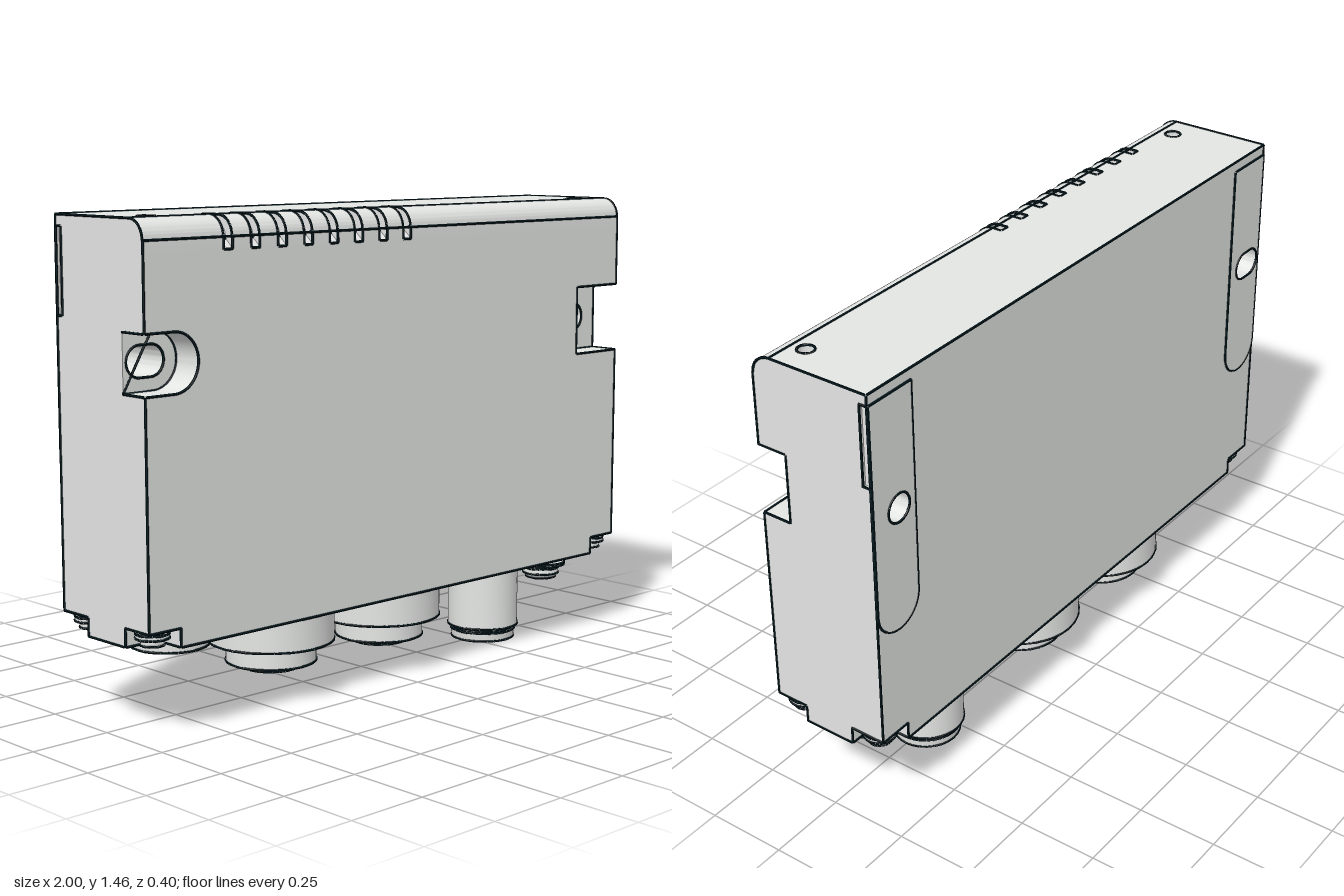
import * as THREE from 'three';
import { mergeGeometries, toCreasedNormals } from 'three/addons/utils/BufferGeometryUtils.js';

const W = 0.996, FRONT = 0.197, BACK = -0.195, BEND = 0.137;
const BOTTOM = 0.265, FOOT = 0.32, SHOULDER = 1.395, TOP = 1.453, HOLE_Y = 1.06;
const PI = Math.PI, UP = new THREE.Vector3(0, 1, 0);

const material = (name, color) => {
  const m = new THREE.MeshStandardMaterial({ color });
  m.name = name;
  return m;
};
const vec = (x, y, z) => new THREE.Vector3(x, y, z);
const polygon = (pts) => new THREE.Shape(pts.map(([x, y]) => new THREE.Vector2(x, y)));
const circle = (x, y, r) => new THREE.Path().absarc(x, y, r, 0, PI * 2, true);
const extrude = (shape, depth) =>
  new THREE.ExtrudeGeometry(shape, { depth, bevelEnabled: false, curveSegments: 14 });

// Mounting holes: round on the model's left, elongated on its right
const roundHole = circle(0.89, HOLE_Y, 0.045);
const slotHole = new THREE.Path()
  .absarc(-0.90, HOLE_Y, 0.045, -PI / 2, PI / 2, false)
  .absarc(-0.94, HOLE_Y, 0.045, PI / 2, PI * 1.5, false).closePath();

// Housing outline with optional side grooves, foot notches and front pockets
function outline({ top = 1.42, groove = false, feet = false, pockets = false }) {
  const s = new THREE.Shape().moveTo(0, BOTTOM);
  const line = (pts) => pts.forEach(([x, y]) => s.lineTo(x, y));
  line(feet ? [[0.885, BOTTOM], [0.885, FOOT], [W, FOOT]] : [[W, BOTTOM]]);
  if (pockets) line([[W, 0.95], [0.795, 0.95], [0.795, 1.17], [W, 1.17]]);
  if (groove) line([[W, 1.17], [0.985, 1.17], [0.985, top], [-0.985, top], [-0.985, 1.17], [-W, 1.17]]);
  else line([[W, top], [-W, top]]);
  if (pockets) {
    s.lineTo(-W, HOLE_Y + 0.085);
    s.absarc(-0.895, HOLE_Y, 0.085, PI / 2, -PI / 2, true);
    s.lineTo(-W, HOLE_Y - 0.085);
  } else {
    s.holes.push(roundHole, slotHole);
  }
  line(feet ? [[-W, FOOT], [-0.885, FOOT], [-0.885, BOTTOM]] : [[-W, BOTTOM]]);
  return s.closePath();
}

export function createModel() {
  const group = new THREE.Group();
  const grey = material('lightGrey', 0xe4e6e4);
  const dark = material('darkEdge', 0x061a20);
  const white = material('white', 0xffffff);

  const add = (name, geometry, parent = group, mat = grey) => {
    const mesh = new THREE.Mesh(toCreasedNormals(geometry, 0.6), mat);
    mesh.name = name;
    parent.add(mesh);
  };

  // Dark edge lines, gathered as thin rods
  const rods = [];
  const wire = (pts, closed = false) => {
    const path = closed ? [...pts, pts[0]] : pts;
    for (let i = 1; i < path.length; i++) {
      const dir = path[i].clone().sub(path[i - 1]);
      const length = dir.length();
      if (length < 1e-4) continue;
      const mid = path[i].clone().add(path[i - 1]).multiplyScalar(0.5);
      rods.push(new THREE.CylinderGeometry(0.004, 0.004, length, 5, 1, true)
        .applyQuaternion(new THREE.Quaternion().setFromUnitVectors(UP, dir.normalize()))
        .translate(mid.x, mid.y, mid.z));
    }
  };
  const loop = (path, z) => wire(path.getPoints(14).map((p) => vec(p.x, p.y, z)), true);
  const alongX = (x0, x1, y, z) => wire([vec(x0, y, z), vec(x1, y, z)]);
  const alongZ = (x, y, z0, z1) => wire([vec(x, y, z0), vec(x, y, z1)]);
  const ring = (x, y, z, r) =>
    wire(circle(x, z, r).getPoints(14).map((p) => vec(p.x, y, p.y)), true);

  // Housing, in slices from back to front
  const slice = (z0, z1, options) =>
    add('housing', extrude(outline(options), z1 - z0).translate(0, 0, z0));
  slice(BACK, -0.17, { groove: true, feet: true });
  slice(-0.17, -0.08, { feet: true });
  slice(-0.08, 0.09, {});
  slice(0.09, 0.1, { feet: true });
  slice(0.1, 0.105, { feet: true, pockets: true });
  slice(0.105, FRONT, { top: 1.36, feet: true, pockets: true });
  loop(outline({ top: SHOULDER, feet: true, pockets: true }), FRONT);
  loop(outline({ top: TOP, feet: true }), BACK);

  // Edges of the foot notches, pockets, side grooves and holes
  for (const s of [-1, 1]) {
    for (const [inner, outer] of [[0.09, FRONT], [-0.08, BACK]]) {
      loop(polygon([[s * 0.885, BOTTOM], [s * W, BOTTOM], [s * W, FOOT], [s * 0.885, FOOT]]), inner);
      for (const [x, y] of [[0.885, BOTTOM], [0.885, FOOT], [W, FOOT]]) alongZ(s * x, y, inner, outer);
    }
    alongZ(s * W, BOTTOM, -0.08, 0.09);
    alongZ(s * W, TOP, BACK, BEND);
    wire([vec(s * W, 1.17, BACK), vec(s * W, 1.17, -0.17), vec(s * W, 1.42, -0.17), vec(s * W, 1.42, BACK)]);
    ring(s * 0.9, TOP, 0.09, 0.025);
  }
  for (const [x, y] of [[W, 0.95], [W, 1.17], [0.795, 0.95], [0.795, 1.17],
    [-W, HOLE_Y - 0.085], [-W, HOLE_Y + 0.085]]) alongZ(x, y, 0.1, FRONT);
  loop(polygon([[0.795, 0.95], [W, 0.95], [W, 1.17], [0.795, 1.17]]), 0.1);
  loop(new THREE.Path().moveTo(-W, HOLE_Y + 0.085)
    .absarc(-0.895, HOLE_Y, 0.085, PI / 2, -PI / 2, true).lineTo(-W, HOLE_Y - 0.085), 0.1);
  for (const hole of [roundHole, slotHole]) [0.1, -0.2].forEach((z) => loop(hole, z));

  // Top cover with two small holes, cut back behind the light slots
  const cover = polygon([[-W, -BEND], [-0.73, -BEND], [-0.73, -0.105], [0.03, -0.105],
    [0.03, -BEND], [W, -BEND], [W, -BACK], [-W, -BACK]]);
  cover.holes.push(circle(-0.9, -0.09, 0.025), circle(0.9, -0.09, 0.025));
  add('topCover', extrude(cover, TOP - 1.42).rotateX(-PI / 2).translate(0, 1.42, 0));

  // Rounded front edge: plain ends, ribs, and recessed light slots between the ribs
  const bend = (pts, r, tail) => {
    const s = new THREE.Shape().moveTo(-0.105, 1.36);
    pts.forEach(([z, y]) => s.lineTo(-z, y));
    s.absarc(-BEND, SHOULDER, r, PI / 2, PI, false);
    tail.forEach(([z, y]) => s.lineTo(-z, y));
    return s.closePath();
  };
  const R = TOP - SHOULDER;
  const endProfile = bend([[0.105, 1.42], [BEND, 1.42], [BEND, TOP]], R, [[FRONT, SHOULDER], [FRONT, 1.36]]);
  const ribProfile = bend([[0.105, TOP], [BEND, TOP]], R, [[FRONT, SHOULDER], [FRONT, 1.36]]);
  const slotProfile = bend([[0.105, TOP], [0.13, 1.428]], 0.03, [[0.167, 1.385], [FRONT, 1.36]]);
  const windowProfile = polygon([[-0.166, 1.388], [-FRONT, 1.362], [-FRONT, 1.358], [-0.166, 1.38]]);
  const across = (name, shape, x0, x1, mat) =>
    add(name, extrude(shape, x1 - x0).rotateY(PI / 2).translate(x0, 0, 0), group, mat);
  across('roundedEdge', endProfile, -W, -0.73);
  across('roundedEdge', endProfile, 0.03, W);
  const arc = ribProfile.getPoints(10).slice(1);
  const bendWire = (x, pts) => wire(pts.map((p) => vec(x, p.y, -p.x)));
  let x = -0.73;
  for (let i = 0; i < 8; i++) {
    const x0 = -0.716 + i * 0.1, x1 = x0 + 0.032;
    across('rib', ribProfile, x, x0);
    across('lightSlot', slotProfile, x0, x1);
    across('lightWindow', windowProfile, x0, x1, white);
    for (const side of [x0, x1]) bendWire(side, arc.slice(0, -1));
    for (const [y, z] of [[TOP, 0.105], [1.428, 0.13], [1.386, 0.167], [1.36, FRONT]]) alongX(x0, x1, y, z);
    x = x1;
  }
  across('rib', ribProfile, x, 0.03);
  for (const s of [-W, W]) bendWire(s, arc.slice(1, -1));
  alongX(-W, W, TOP, BEND);

  // Raised mounting pads on the back
  for (const side of [-1, 1]) {
    const cx = side * 0.907, r = 0.0875;
    const pad = new THREE.Shape().moveTo(cx + r, 1.42).lineTo(cx - r, 1.42)
      .lineTo(cx - r, 0.7575).absarc(cx, 0.7575, r, PI, PI * 2, false).closePath();
    loop(pad, -0.198);
    pad.holes.push(side > 0 ? roundHole : slotHole);
    add('mountingPad', extrude(pad, 0.006).translate(0, 0, -0.2));
  }

  // Turned parts: profile runs from the inner floor, round the rim and up the outside
  const unit = (name, ux, uz = 0) => {
    const g = new THREE.Group();
    g.name = name;
    g.position.set(ux, 0, uz);
    group.add(g);
    return g;
  };
  const turned = (g, name, profile) => {
    add(name, new THREE.LatheGeometry(profile.map(([r, y]) => new THREE.Vector2(r, y)), 48), g);
    for (const [r, y] of profile) if (r > 0) ring(g.position.x, y, g.position.z, r);
  };
  const pins = (g, count, radius, y0, y1) => {
    for (let i = 0; i < count; i++) {
      const a = PI / 2 + (i + 0.5) * PI * 2 / count;
      const px = radius * Math.cos(a), pz = radius * Math.sin(a);
      add('pin', new THREE.CylinderGeometry(0.012, 0.012, y1 - y0, 12).translate(px, (y0 + y1) / 2, pz), g);
      ring(g.position.x + px, y0, g.position.z + pz, 0.012);
    }
  };

  // Corner screws in the foot notches
  for (const sx of [-0.943, 0.943]) {
    for (const sz of [-0.138, 0.143]) {
      turned(unit('cornerScrew', sx, sz), 'screwHead', [[0, 0.285], [0.022, 0.285], [0.022, 0.275],
        [0.034, 0.275], [0.034, 0.295], [0.048, 0.295], [0.048, 0.308], [0.034, 0.308], [0.034, FOOT]]);
    }
  }

  // Two large multi-pin sockets
  for (const sx of [-0.38, 0.078]) {
    const g = unit('largeSocket', sx);
    turned(g, 'socketShell', [[0, 0.15], [0.105, 0.15], [0.105, 0.1], [0.138, 0.1],
      [0.138, 0.165], [0.192, 0.165], [0.192, BOTTOM]]);
    turned(g, 'socketInsert', [[0, 0.12], [0.068, 0.12], [0.068, 0.08], [0.085, 0.08], [0.085, 0.15]]);
    add('socketKey', new THREE.BoxGeometry(0.02, 0.04, 0.02).translate(0, 0.105, 0.06), g);
    pins(g, 5, 0.04, 0.088, 0.13);
  }

  // Long round plug with a grooved collar
  const plug = unit('roundPlug', 0.566);
  turned(plug, 'plugShell', [[0, 0.1], [0.085, 0.1], [0.085, 0.005], [0.103, 0.005],
    [0.106, 0.032], [0.099, 0.036], [0.099, 0.048], [0.116, 0.048], [0.116, BOTTOM]]);
  pins(plug, 4, 0.042, 0.03, 0.11);

  // Low ring connector
  turned(unit('lowRing', -0.77), 'ringShell',
    [[0, 0.26], [0.062, 0.26], [0.062, 0.219], [0.114, 0.219], [0.114, BOTTOM]]);

  // Grounding screw: neck, washer and slotted head
  const ground = unit('groundScrew', 0.835, 0.022);
  turned(ground, 'screwNeck', [[0.055, 0.21], [0.055, BOTTOM]]);
  turned(ground, 'washer', [[0, 0.212], [0.08, 0.212], [0.08, 0.22], [0, 0.22]]);
  turned(ground, 'screwBody', [[0, 0.175], [0.03, 0.175], [0.034, 0.163], [0.05, 0.168],
    [0.06, 0.182], [0.06, 0.2], [0.055, 0.212]]);
  for (const angle of [0, PI / 2]) {
    add('driveCross', new THREE.BoxGeometry(0.06, 0.012, 0.01).rotateY(angle).translate(0, 0.17, 0), ground);
  }

  add('edgeLines', mergeGeometries(rods), group, dark);
  return group;
}
